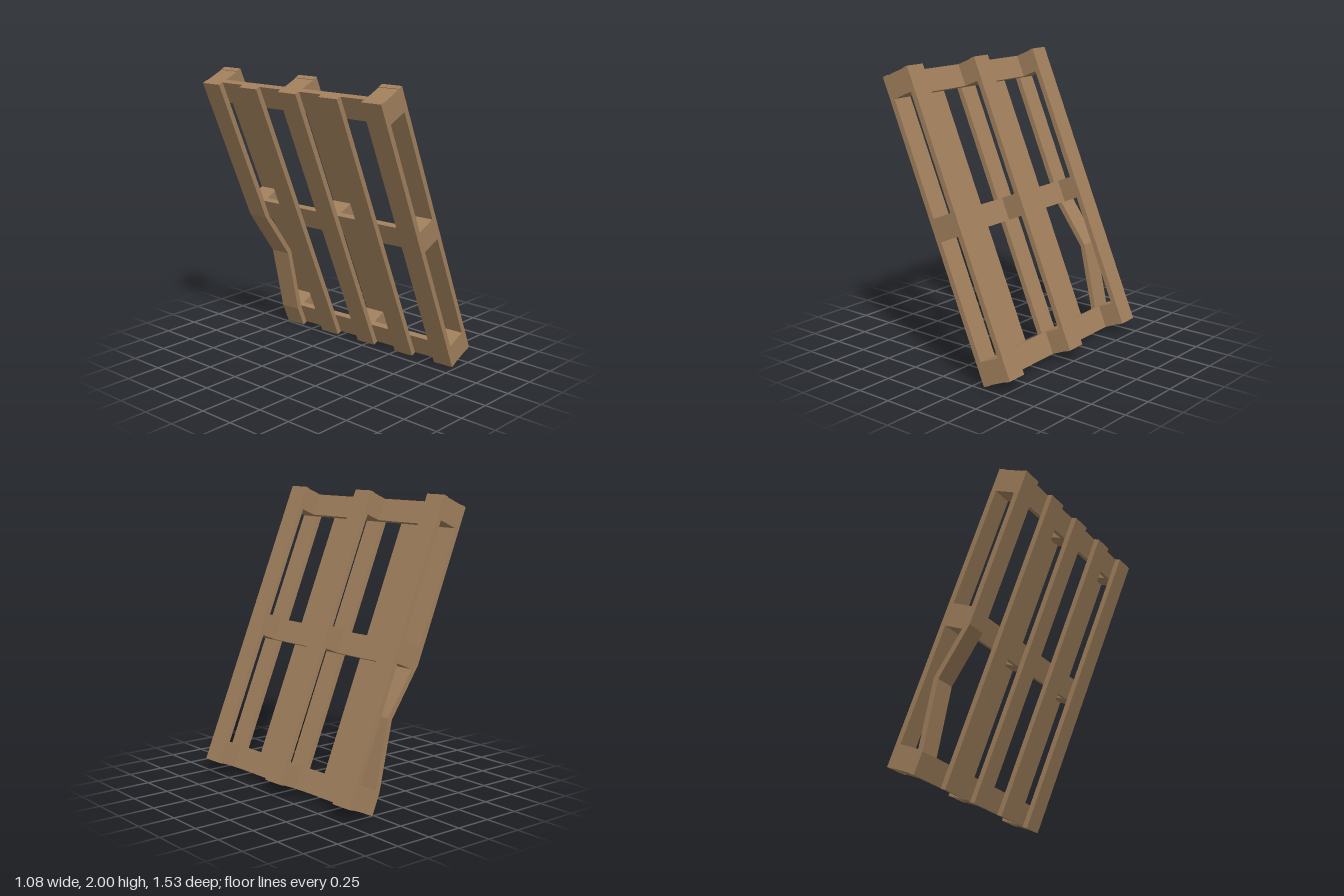
import * as THREE from 'three';

export function createModel() {
  const root = new THREE.Group();
  root.name = 'leaningPallet';
  const wood = new THREE.MeshStandardMaterial({ color: 0xa07f5c });
  wood.name = 'wood';

  // Local frame: x = thickness, y = length, z = width
  const pallet = new THREE.Group();
  pallet.name = 'pallet';
  root.add(pallet);

  const LEN = 2.062, WIDTH = 1.49, T = 0.037, BLOCK = 0.111, BOARD = 0.15, CROSS = 0.155;
  const deckX = -0.0925, crossX = deckX + T, blockX = crossX + T / 2 + BLOCK / 2;
  const bottomX = blockX + BLOCK / 2 + T / 2;
  const levels = [-0.95, 0, 0.95], rows = [-0.67, 0, 0.67];

  function part(name, geometry, x, y, z) {
    const mesh = new THREE.Mesh(geometry, wood);
    mesh.name = name;
    mesh.position.set(x, y, z);
    pallet.add(mesh);
  }

  // Deck board with a sagging section between the lower and middle blocks
  function bentBoard() {
    const ys = [-LEN / 2, -0.88, -0.42, -0.04, LEN / 2];
    const sag = [0, 0, 0.085, 0, 0];
    const g = new THREE.BoxGeometry(T, 4, BOARD, 1, 4, 1).toNonIndexed();
    const p = g.attributes.position;
    for (let i = 0; i < p.count; i++) {
      const k = Math.round(p.getY(i) + 2);
      p.setXY(i, p.getX(i) + sag[k], ys[k]);
    }
    g.computeVertexNormals();
    return g;
  }

  // Five deck boards, the outermost one warped
  const longBoard = new THREE.BoxGeometry(T, LEN, BOARD);
  for (let i = 0; i < 5; i++) {
    const z = -0.67 + i * 0.335;
    if (i === 0) part('warpedDeckBoard', bentBoard(), deckX, 0, z);
    else part('deckBoard', longBoard, deckX, 0, z);
  }

  // Three cross boards, each carrying three blocks
  const crossBoard = new THREE.BoxGeometry(T, CROSS, WIDTH);
  const block = new THREE.BoxGeometry(BLOCK, CROSS, BOARD);
  for (const y of levels) {
    part('crossBoard', crossBoard, crossX, y, 0);
    for (const z of rows) part('block', block, blockX, y, z);
  }

  // Three bottom runners
  for (const z of rows) part('bottomRunner', longBoard, bottomX, 0, z);

  // Lean the pallet back with a slight turn
  const across = new THREE.Vector3(0.05, 0.007, 1).normalize();
  const along = new THREE.Vector3(-0.39, 0.921, 0.013).normalize();
  const normal = new THREE.Vector3().crossVectors(along, across).normalize();
  along.crossVectors(across, normal);
  pallet.quaternion.setFromRotationMatrix(new THREE.Matrix4().makeBasis(normal, along, across));

  // Rest on the ground, centred
  root.updateMatrixWorld(true);
  const box = new THREE.Box3().setFromObject(root, true);
  const c = box.getCenter(new THREE.Vector3());
  pallet.position.set(-c.x, -box.min.y, -c.z);
  return root;
}
